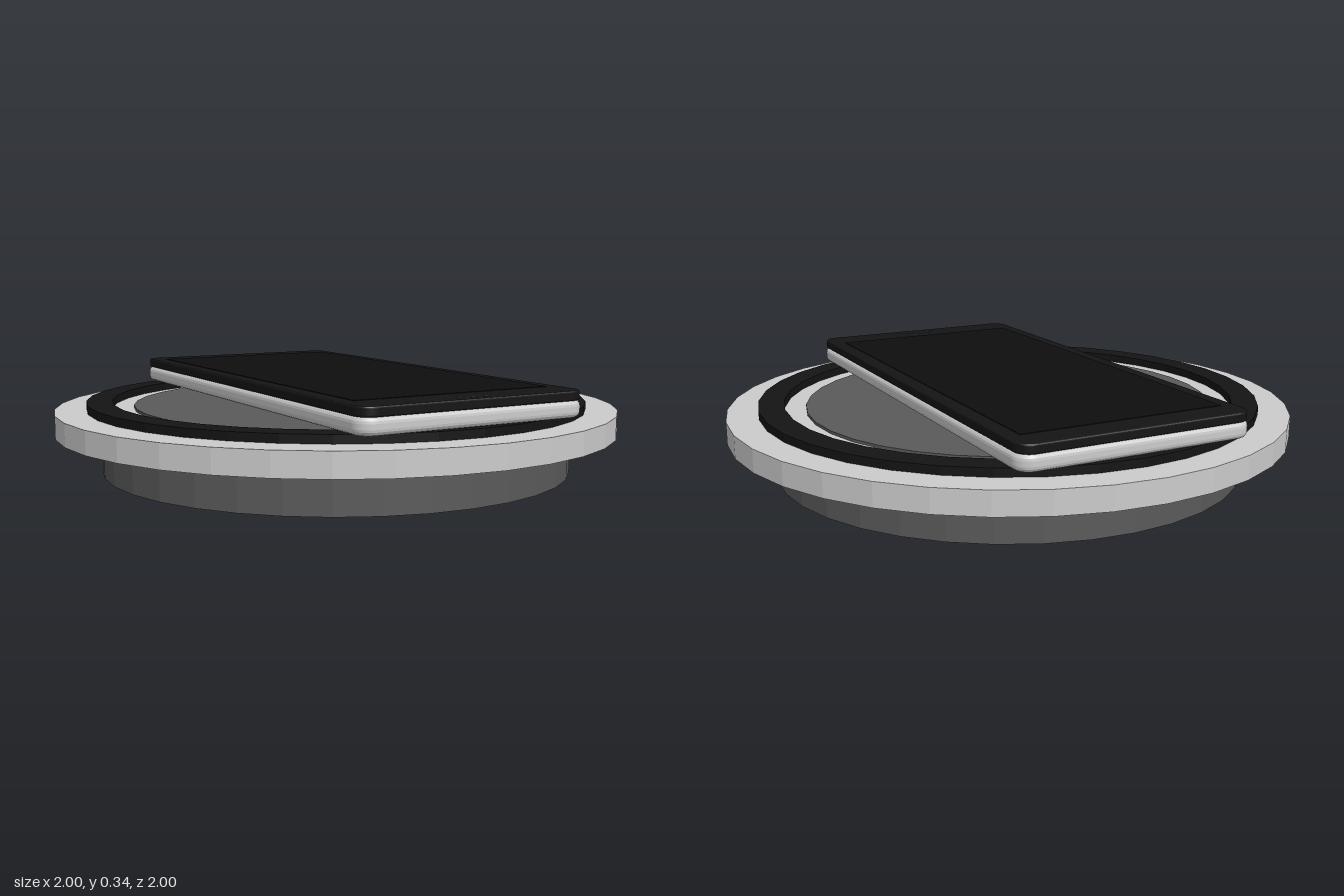
import * as THREE from 'three';

const SIDES = 36;
const material = (color, flatShading = false) => new THREE.MeshStandardMaterial({ color, flatShading });

function add(parent, name, geometry, mat, y = 0) {
  const mesh = new THREE.Mesh(geometry, mat);
  mesh.name = name;
  mesh.position.y = y;
  parent.add(mesh);
  return mesh;
}

// Faceted disc between two heights
function disc(radius, y0, y1) {
  return new THREE.CylinderGeometry(radius, radius, y1 - y0, SIDES).translate(0, (y0 + y1) / 2, 0);
}

// Flat ring with a rectangular section
function ring(inner, outer, y0, y1) {
  const profile = [[inner, y0], [outer, y0], [outer, y1], [inner, y1], [inner, y0]];
  return new THREE.LatheGeometry(profile.map(([r, y]) => new THREE.Vector2(r, y)), SIDES);
}

// Rounded rectangular slab lying flat, with eased top and bottom edges
function slab(halfX, halfZ, radius, height, bevel) {
  const x = halfX - bevel, z = halfZ - bevel, r = radius - bevel;
  const shape = new THREE.Shape();
  shape.absarc(x - r, z - r, r, 0, Math.PI / 2);
  shape.absarc(-x + r, z - r, r, Math.PI / 2, Math.PI);
  shape.absarc(-x + r, -z + r, r, Math.PI, Math.PI * 1.5);
  shape.absarc(x - r, -z + r, r, Math.PI * 1.5, Math.PI * 2);
  return new THREE.ExtrudeGeometry(shape, {
    depth: height - 2 * bevel, bevelEnabled: true, bevelThickness: bevel,
    bevelSize: bevel, bevelSegments: 4, curveSegments: 6,
  }).translate(0, 0, bevel).rotateX(-Math.PI / 2);
}

export function createModel() {
  const model = new THREE.Group();
  model.name = 'phoneOnChargingPad';
  const silver = material(0xcccccc, true);
  const darkGrey = material(0x5a5a5a, true);
  const black = material(0x141414, true);

  // Charging pad
  const pad = new THREE.Group();
  pad.name = 'chargingPad';
  add(pad, 'base', disc(0.84, 0, 0.145), darkGrey);
  add(pad, 'plate', disc(1, 0.145, 0.225), silver);
  add(pad, 'gripRing', ring(0.8, 0.89, 0.223, 0.253), black);
  add(pad, 'centrePad', disc(0.725, 0.223, 0.235), darkGrey);
  model.add(pad);

  // Phone resting on the grip ring
  const phone = new THREE.Group();
  phone.name = 'phone';
  add(phone, 'phoneBody', slab(0.413, 0.872, 0.055, 0.057, 0.02), material(0xcccccc), 0.253);
  add(phone, 'phoneFace', slab(0.41, 0.87, 0.052, 0.032, 0.006), material(0x141414), 0.308);
  const screen = add(phone, 'screen', new THREE.BoxGeometry(0.72, 0.004, 1.51), material(0x0e0e0e), 0.34);
  screen.position.z = -0.015;
  const slot = add(phone, 'speakerSlot', new THREE.BoxGeometry(0.11, 0.004, 0.012), material(0x555555), 0.34);
  slot.position.z = 0.83;
  model.add(phone);

  return model;
}
